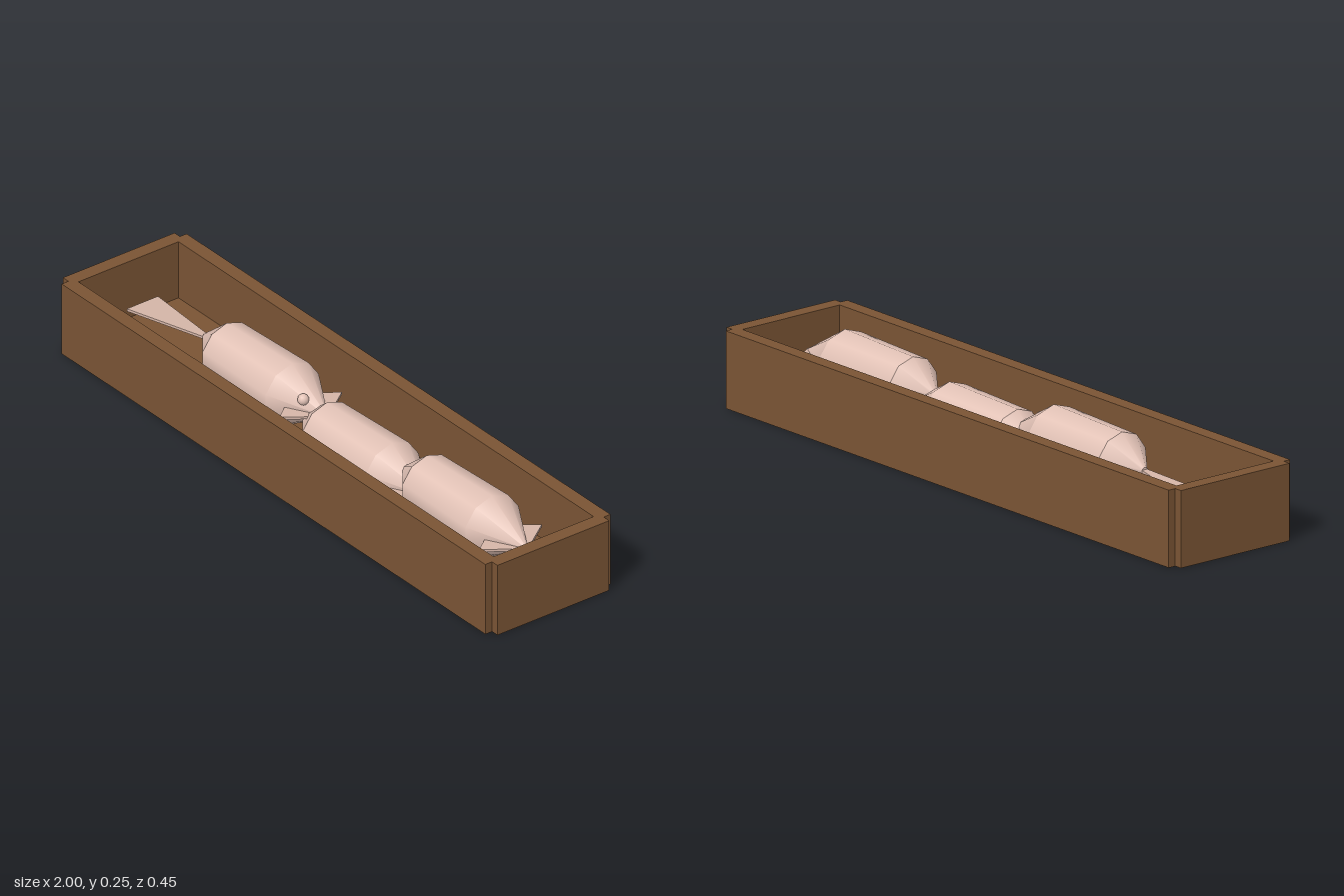
import * as THREE from 'three';

const wood = new THREE.MeshStandardMaterial({ color: 0x7a5434 });
wood.name = 'brown wood';
const flesh = new THREE.MeshStandardMaterial({ color: 0xe3c3b7 });
flesh.name = 'pale pink';
const finSkin = new THREE.MeshStandardMaterial({ color: 0xd6b6a8, side: THREE.DoubleSide });
finSkin.name = 'fin pink';

function add(parent, name, geometry, material, x = 0, y = 0, z = 0) {
  const mesh = new THREE.Mesh(geometry, material);
  mesh.name = name;
  mesh.position.set(x, y, z);
  parent.add(mesh);
  return mesh;
}

// Ten-sided tapered section lying along x, with a ridge on top
function section(x0, x1, r0, r1) {
  const g = new THREE.CylinderGeometry(r1, r0, x1 - x0, 10, 1, false, Math.PI / 2);
  g.rotateZ(-Math.PI / 2);
  g.translate((x0 + x1) / 2, 0, 0);
  return g;
}

// Thin horizontal plate from [x, z] outline points
function plate(points, thickness = 0.008) {
  const shape = new THREE.Shape(points.map(([x, z]) => new THREE.Vector2(x, -z)));
  const g = new THREE.ExtrudeGeometry(shape, { depth: thickness, bevelEnabled: false });
  g.translate(0, 0, -thickness / 2);
  g.rotateX(-Math.PI / 2);
  return g;
}

function makeFish(withEye) {
  const fish = new THREE.Group();
  fish.name = 'fish';
  add(fish, 'rearBody', section(-0.25, -0.15, 0.01, 0.091), flesh);
  add(fish, 'body', section(-0.15, 0.15, 0.091, 0.1), flesh);
  add(fish, 'head', section(0.15, 0.315, 0.1, 0.002), flesh);
  // Diamond side fins through the head
  add(fish, 'sideFins', plate([[0.15, 0], [0.235, 0.112], [0.315, 0], [0.235, -0.112]]), finSkin);
  // Flaring tail drooping slightly to the rear
  const tail = add(fish, 'tailFin',
    plate([[0, 0.008], [-0.3, 0.056], [-0.3, -0.056], [0, -0.008]]), finSkin, -0.24, 0, 0);
  tail.rotation.z = 0.1;
  if (withEye) add(fish, 'eye', new THREE.SphereGeometry(0.017, 12, 8), flesh, 0.24, 0.035, 0.03);
  return fish;
}

export function createModel() {
  const model = new THREE.Group();

  // Open crate
  const crate = new THREE.Group();
  crate.name = 'crate';
  add(crate, 'floor', new THREE.BoxGeometry(1.95, 0.045, 0.4), wood, 0, 0.0225, 0);
  for (const s of [-1, 1]) {
    add(crate, 'longWall', new THREE.BoxGeometry(1.95, 0.23, 0.045), wood, 0, 0.115, s * 0.2015);
    add(crate, 'endWall', new THREE.BoxGeometry(0.045, 0.23, 0.4), wood, s * 0.9775, 0.115, 0);
  }
  model.add(crate);

  // Row of fish, the middle one tucked lower
  [[-0.352, 0.152, true], [0.108, 0.108, false], [0.568, 0.152, false]].forEach(([x, y, eye]) => {
    const fish = makeFish(eye);
    fish.position.set(x, y, 0);
    model.add(fish);
  });
  return model;
}
